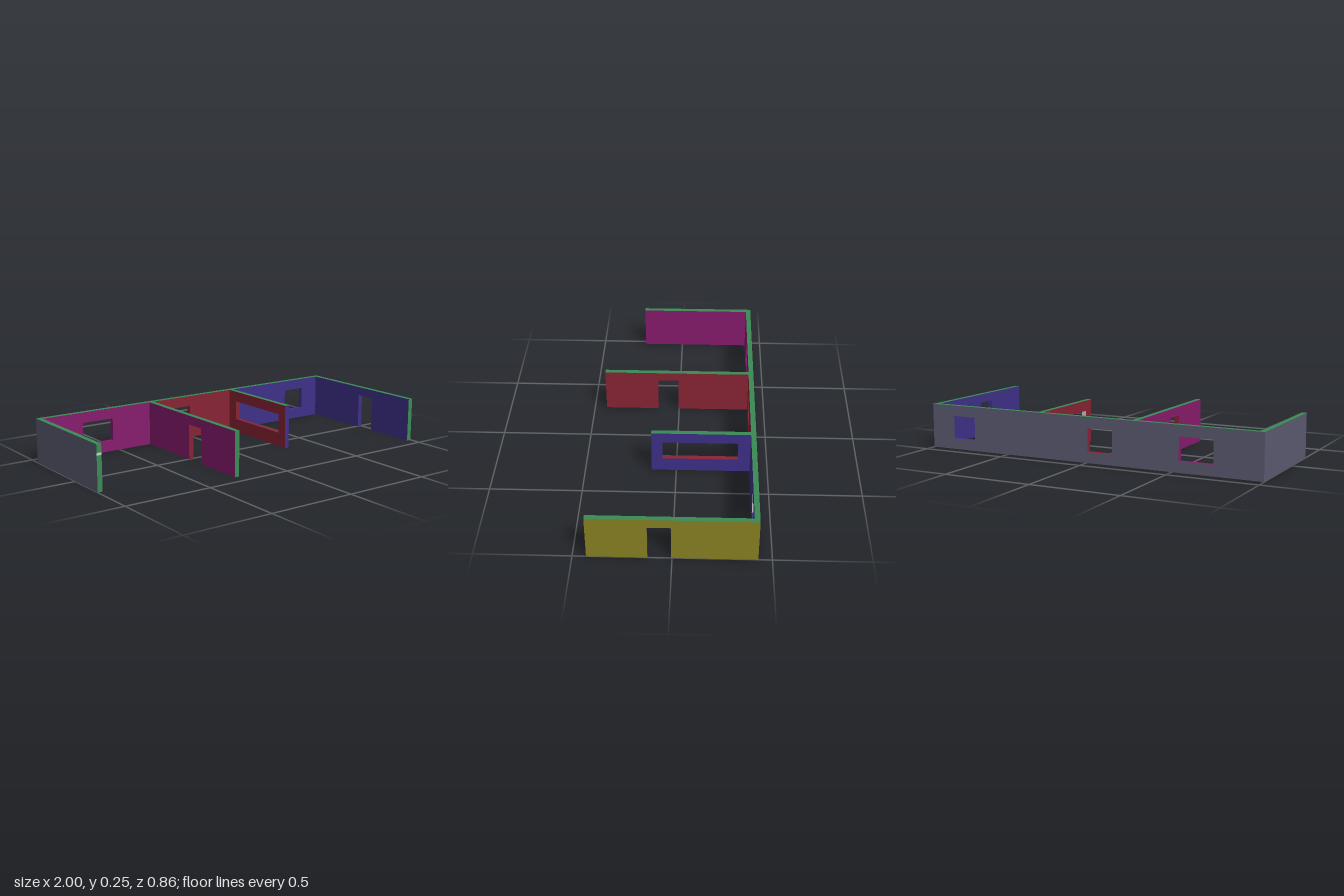
import * as THREE from 'three';

const H = 0.25, T = 0.028, BACK = -0.43, INNER = BACK + T;
const COLORS = {
  green: 0x3a8a55, magenta: 0x861b6c, red: 0x882334, blue: 0x3e3088,
  olive: 0x878122, slate: 0x5a5a70, plain: 0xcccccc,
};
const materials = {};
for (const [key, color] of Object.entries(COLORS)) {
  materials[key] = new THREE.MeshStandardMaterial({ color });
}

// Wall slab in the xy plane, with an optional doorway [u0, u1, top]
// and an optional window [u0, u1, v0, v1]
function slab(a, b, door, win) {
  const pts = [[a, 0]];
  if (door) pts.push([door[0], 0], [door[0], door[2]], [door[1], door[2]], [door[1], 0]);
  pts.push([b, 0], [b, H], [a, H]);
  const shape = new THREE.Shape(pts.map(p => new THREE.Vector2(...p)));
  if (win) {
    const [u0, u1, v0, v1] = win;
    shape.holes.push(new THREE.Path([[u0, v0], [u0, v1], [u1, v1], [u1, v0]]
      .map(p => new THREE.Vector2(...p))));
  }
  return new THREE.ExtrudeGeometry(shape, { depth: T, bevelEnabled: false });
}

// Sorts triangles by facing into one mesh per paint colour. Keys are '+x', '-y' and
// so on; 'in+x' paints one opening reveal, 'in' all of them. Null drops a hidden face.
function painted(name, geometry, paint) {
  const geo = geometry.index ? geometry.toNonIndexed() : geometry;
  geo.computeBoundingBox();
  const { min, max } = geo.boundingBox;
  const p = geo.attributes.position, buckets = {};
  const tri = new THREE.Triangle(), n = new THREE.Vector3(), mid = new THREE.Vector3();
  for (let i = 0; i < p.count; i += 3) {
    tri.setFromAttributeAndIndices(p, i, i + 1, i + 2);
    tri.getNormal(n);
    tri.getMidpoint(mid);
    const axis = ['x', 'y', 'z'].find(k => Math.abs(n[k]) > 0.9);
    if (!axis) continue;
    const dir = (n[axis] > 0 ? '+' : '-') + axis;
    const limit = (n[axis] > 0 ? max : min)[axis];
    const outside = Math.abs(mid[axis] - limit) < 1e-4;
    const color = outside ? paint[dir] : paint['in' + dir] ?? paint.in;
    if (color) (buckets[color] ??= []).push(tri.a.clone(), tri.b.clone(), tri.c.clone());
  }
  const group = new THREE.Group();
  group.name = name;
  for (const [color, points] of Object.entries(buckets)) {
    const g = new THREE.BufferGeometry().setFromPoints(points);
    g.computeVertexNormals();
    const mesh = new THREE.Mesh(g, materials[color]);
    mesh.name = name + 'Faces';
    group.add(mesh);
  }
  return group;
}

export function createModel() {
  const model = new THREE.Group();
  model.name = 'roomWalls';

  // Long back wall, one section per room
  const sections = [
    ['backWallRight', -1, -0.28, [-0.73, -0.54, 0.06, 0.19],
      { '+z': 'magenta', '-x': 'slate', in: 'magenta' }],
    ['backWallMiddle', -0.28, 0.295, [-0.155, -0.01, 0.06, 0.19],
      { '+z': 'red', in: 'red' }],
    ['backWallLeft', 0.295, 1, [0.715, 0.855, 0.06, 0.19],
      { '+z': 'blue', '+x': 'olive', in: 'blue', 'in+x': 'plain' }],
  ];
  for (const [name, a, b, win, paint] of sections) {
    const geo = slab(a, b, null, win).translate(0, 0, BACK);
    model.add(painted(name, geo, { '+y': 'green', '-y': 'slate', '-z': 'slate', ...paint }));
  }

  // Walls running forward: name, outer +x face, front end, doorway, window, paint
  const doorway = [0.005, 0.123, 0.2];
  const wings = [
    ['rightEndWall', -1 + T, 0.235, null, null,
      { '+x': 'magenta', '-x': 'slate', '-y': 'slate', '+z': 'green' }],
    ['rightPartition', -0.266, 0.43, doorway, null,
      { '+x': 'red', '-x': 'magenta', '-y': 'magenta', '+z': 'green', in: 'red' }],
    ['leftPartition', 0.309, 0.135, null, [-0.335, 0.075, 0.08, 0.19],
      { '+x': 'blue', '-x': 'red', '-y': 'red', '+z': 'blue', in: 'red', 'in-z': 'plain' }],
    ['leftEndWall', 1, 0.43, doorway, null,
      { '+x': 'olive', '-x': 'blue', '-y': 'blue', '+z': 'green', in: 'blue' }],
  ];
  for (const [name, x, front, door, win, paint] of wings) {
    const geo = slab(INNER, front, door, win).rotateY(-Math.PI / 2).translate(x, 0, 0);
    model.add(painted(name, geo, { '+y': 'green', ...paint }));
  }

  // Pale strip on the end of the short wall
  const strip = new THREE.Mesh(new THREE.PlaneGeometry(T, 0.014), materials.plain);
  strip.name = 'endStrip';
  strip.position.set(-1 + T / 2, 0.198, 0.236);
  model.add(strip);

  return model;
}
